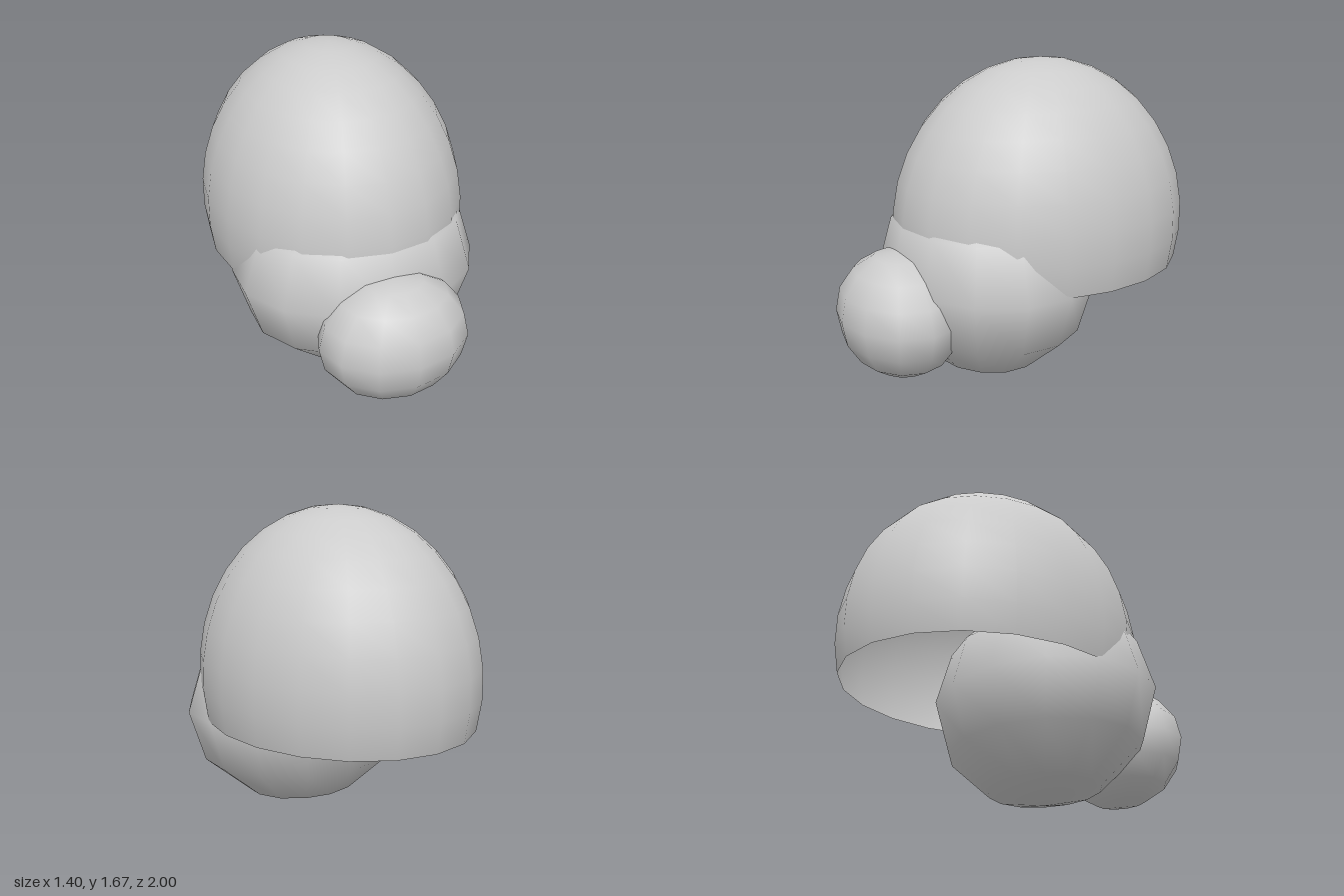
import * as THREE from 'three';

const grey = new THREE.MeshStandardMaterial({ color: 0xcccccc });
const greyOpen = new THREE.MeshStandardMaterial({ color: 0xcccccc, side: THREE.DoubleSide });

// Ellipsoid with a column of vertices on the +z axis; thetaLength < PI leaves it open below
function ellipsoid(name, radii, centre, columns, rows, thetaLength = Math.PI) {
  const geometry = new THREE.SphereGeometry(1, columns, rows, Math.PI / 2, Math.PI * 2, 0, thetaLength);
  geometry.scale(...radii);
  const mesh = new THREE.Mesh(geometry, thetaLength < Math.PI ? greyOpen : grey);
  mesh.name = name;
  mesh.position.set(...centre);
  return mesh;
}

export function createModel() {
  const model = new THREE.Group();
  model.name = 'helmetedHead';

  // Round head, coarse facets with smooth normals
  model.add(ellipsoid('head', [0.667, 0.56, 0.56], [0, 0.562, 0.17], 14, 6));

  // Muzzle bulging out of the lower front
  model.add(ellipsoid('muzzle', [0.4, 0.333, 0.32], [0, 0.402, 0.68], 12, 8));

  // Tall open shell over the top and back of the head
  const shellAngle = THREE.MathUtils.degToRad(105);
  model.add(ellipsoid('helmetShell', [0.7, 0.882, 0.827], [0, 0.793, -0.175], 20, 10, shellAngle));

  return model;
}
